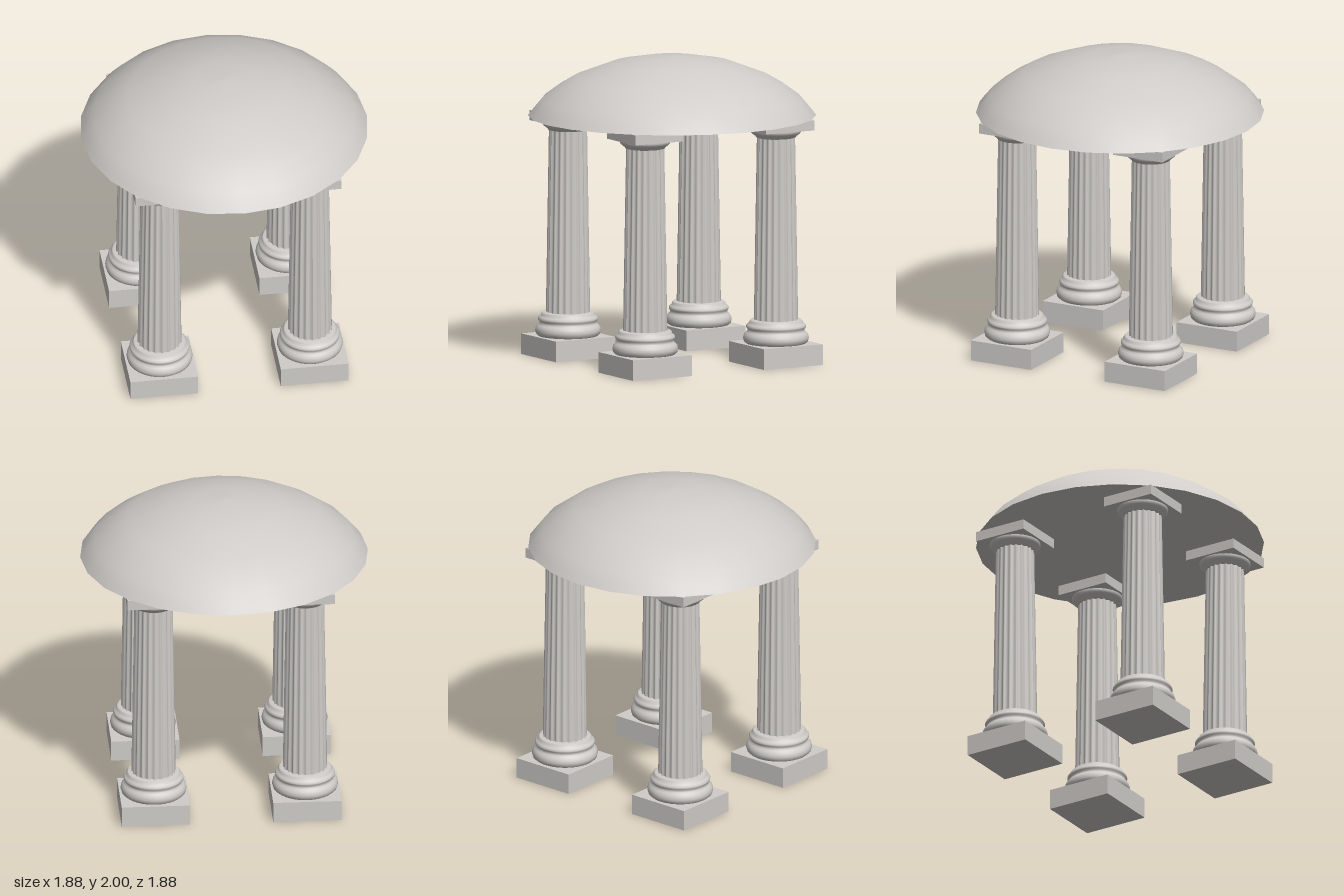
import * as THREE from 'three';

const stone = new THREE.MeshStandardMaterial({ color: 0xcfccc9 });
stone.name = 'pale stone';

function add(parent, name, geometry, y = 0) {
  const mesh = new THREE.Mesh(geometry, stone);
  mesh.name = name;
  mesh.position.y = y;
  parent.add(mesh);
  return mesh;
}

// Turned part from [radius, height] pairs, listed bottom to top
function turned(profile, sides) {
  return new THREE.LatheGeometry(profile.map(([r, y]) => new THREE.Vector2(r, y)), sides);
}

// Tapered shaft with rounded vertical grooves
function flutedShaft(bottomRadius, topRadius, height, flutes) {
  const geometry = new THREE.CylinderGeometry(topRadius, bottomRadius, height, flutes * 6, 1, true);
  const p = geometry.attributes.position;
  for (let i = 0; i < p.count; i++) {
    const angle = Math.atan2(p.getZ(i), p.getX(i));
    const scale = 1 - 0.075 * Math.abs(Math.sin(angle * flutes / 2));
    p.setX(i, p.getX(i) * scale);
    p.setZ(i, p.getZ(i) * scale);
  }
  geometry.computeVertexNormals();
  return geometry;
}

function createColumn() {
  const column = new THREE.Group();
  add(column, 'plinth', new THREE.BoxGeometry(0.446, 0.136, 0.446), 0.068);

  // Two stacked rounded mouldings with a hollow between them
  add(column, 'baseMoulding', turned([
    [0.195, 0.136], [0.209, 0.148], [0.215, 0.17], [0.21, 0.193], [0.198, 0.207],
    [0.188, 0.217], [0.186, 0.23], [0.194, 0.238], [0.196, 0.25], [0.188, 0.262],
    [0.176, 0.268], [0.174, 0.282], [0.165, 0.291], [0.125, 0.292],
  ], 40));

  add(column, 'shaft', flutedShaft(0.145, 0.125, 1.22, 20), 0.9);

  // Flaring neck below the square slab
  add(column, 'capital', turned([
    [0.115, 1.488], [0.13, 1.492], [0.135, 1.502], [0.146, 1.508], [0.16, 1.52],
    [0.167, 1.534], [0.166, 1.545],
  ], 40));
  add(column, 'abacus', new THREE.BoxGeometry(0.366, 0.066, 0.366), 1.576);
  return column;
}

export function createModel() {
  const pavilion = new THREE.Group();
  pavilion.name = 'pavilion';

  // Four columns on the corners of a square
  for (const x of [-1, 1]) {
    for (const z of [-1, 1]) {
      const column = createColumn();
      column.name = (z > 0 ? 'front' : 'back') + (x > 0 ? 'Left' : 'Right') + 'Column';
      column.position.set(x * 0.495, 0, z * 0.495);
      pavilion.add(column);
    }
  }

  // Shallow dome with a flat underside
  add(pavilion, 'domeRoof', turned([
    [0.94, 1.61], [0.91, 1.65], [0.85, 1.722], [0.74, 1.802], [0.63, 1.866],
    [0.4, 1.953], [0.2, 1.99], [0, 2],
  ], 24));
  const ceiling = add(pavilion, 'ceiling', new THREE.CircleGeometry(0.94, 24), 1.61);
  ceiling.rotation.x = Math.PI / 2;
  return pavilion;
}
